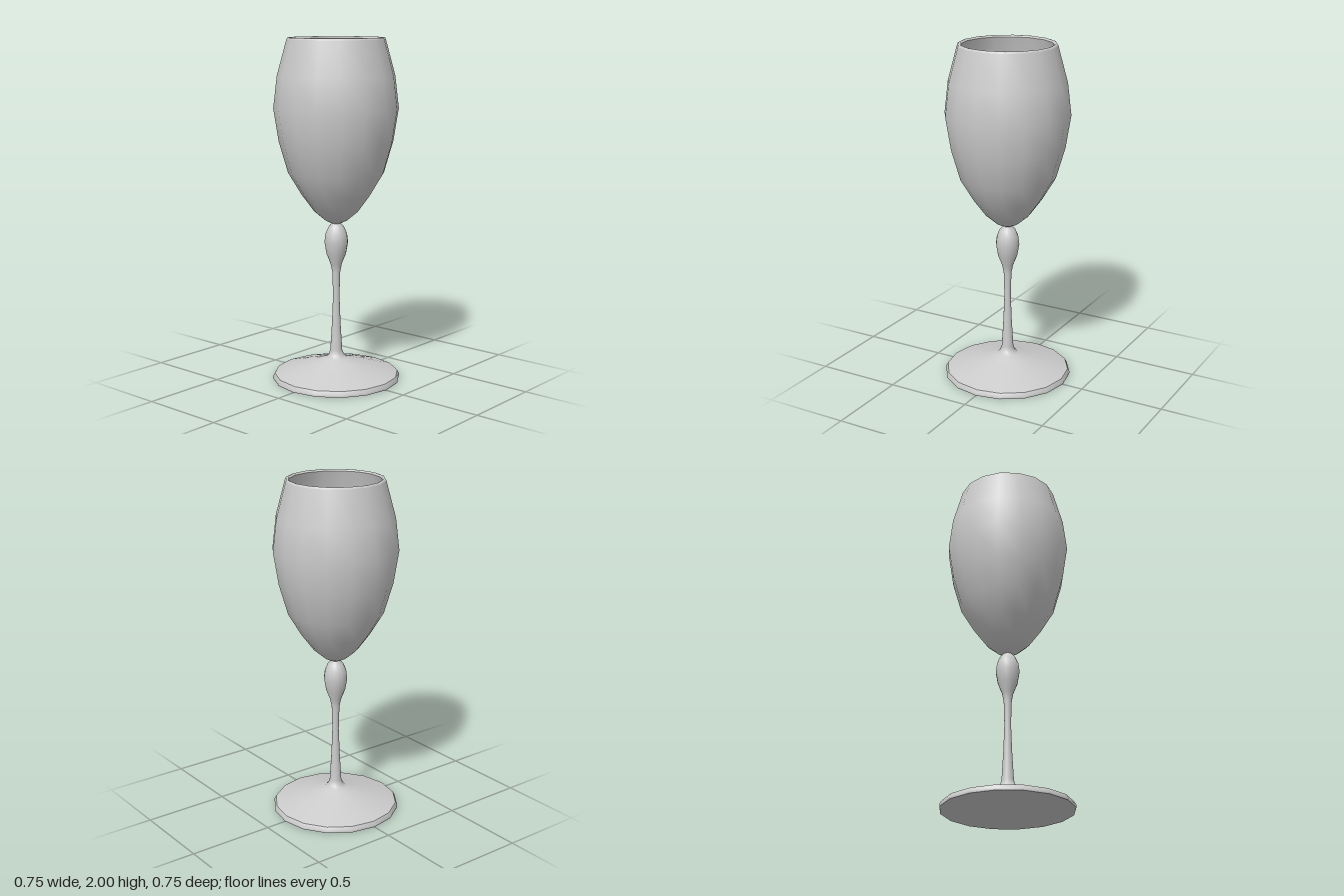
import * as THREE from 'three';

const SIDES = 16;
const material = new THREE.MeshStandardMaterial({ color: 0xcccccc, side: THREE.DoubleSide });

// Turned part from [radius, height] pairs
function turned(name, profile) {
  const points = profile.map(([r, y]) => new THREE.Vector2(r, y));
  const mesh = new THREE.Mesh(new THREE.LatheGeometry(points, SIDES), material);
  mesh.name = name;
  return mesh;
}

export function createModel() {
  const glass = new THREE.Group();
  glass.name = 'wineGlass';

  // Flat underside and the thin edge of the foot
  glass.add(turned('footUnderside', [[0, 0], [0.375, 0]]));
  glass.add(turned('footEdge', [[0.375, 0], [0.377, 0.012], [0.365, 0.033]]));

  // Sloping foot running up into the slim stem and its bulb
  glass.add(turned('footAndStem', [
    [0.365, 0.033], [0.21, 0.08], [0.065, 0.122], [0.045, 0.14], [0.035, 0.17],
    [0.025, 0.34], [0.019, 0.5], [0.023, 0.64], [0.033, 0.69], [0.057, 0.75],
    [0.069, 0.82], [0.063, 0.87], [0.046, 0.91], [0.026, 0.932], [0.03, 0.942],
  ]));

  // Outside of the bowl
  glass.add(turned('bowlOutside', [
    [0.026, 0.932], [0.065, 0.95], [0.13, 1.005], [0.2, 1.1], [0.278, 1.23],
    [0.33, 1.41], [0.36, 1.6], [0.338, 1.785], [0.282, 1.99],
  ]));

  // Rounded rim
  glass.add(turned('rim', [[0.282, 1.99], [0.278, 1.998], [0.271, 2], [0.264, 1.998], [0.26, 1.99]]));

  // Inside of the bowl
  glass.add(turned('bowlInside', [
    [0.26, 1.99], [0.318, 1.78], [0.34, 1.6], [0.311, 1.415], [0.26, 1.24],
    [0.184, 1.112], [0.115, 1.02], [0.055, 0.972], [0, 0.96],
  ]));

  return glass;
}
